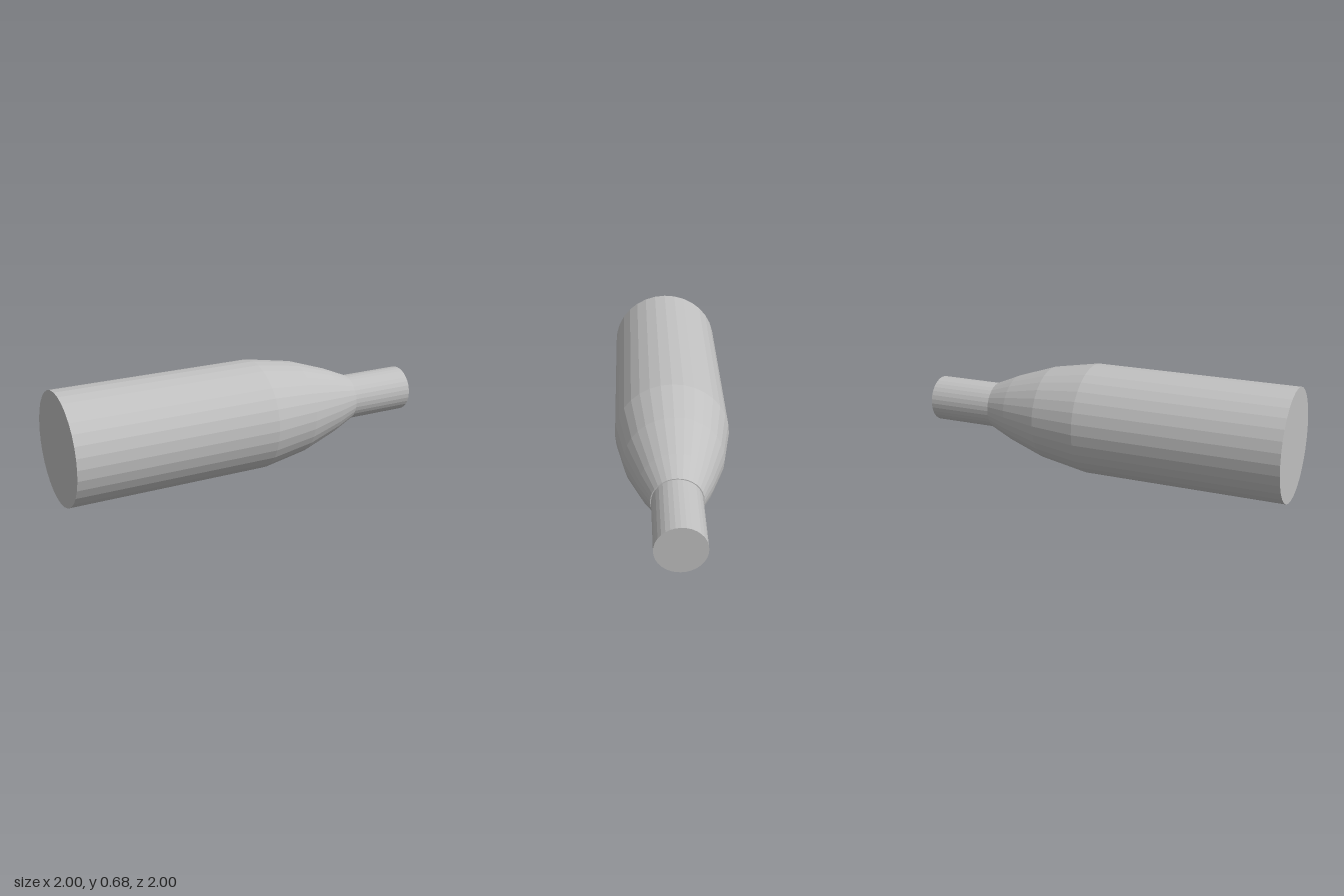
import * as THREE from 'three';

const SEGMENTS = 32;

// Faceted turned solid from [radius, height] pairs, listed from bottom to top
function turned(name, profile, material) {
  const points = profile.map(([r, h]) => new THREE.Vector2(r, h));
  const geometry = new THREE.LatheGeometry(points, SEGMENTS).toNonIndexed();
  geometry.computeVertexNormals();
  const mesh = new THREE.Mesh(geometry, material);
  mesh.name = name;
  return mesh;
}

export function createModel() {
  const glass = new THREE.MeshStandardMaterial({ color: 0xc0c0c0, flatShading: true });
  glass.name = 'light grey';

  const bottle = new THREE.Group();
  bottle.name = 'bottle';

  // Straight body with rounded shoulder, closed at both ends
  bottle.add(turned('body', [
    [0, -1.075], [0.34, -1.075], [0.34, 0.18],
    [0.29, 0.467], [0.209, 0.71], [0.147, 0.856], [0, 0.856],
  ], glass));

  // Slightly narrower neck rising out of the shoulder
  bottle.add(turned('neck', [
    [0, 0.8], [0.1414, 0.8], [0.1414, 1.272], [0, 1.272],
  ], glass));

  // Lay the bottle down, pointing diagonally to the back left
  bottle.rotation.set(0, Math.PI / 4, -Math.PI / 2);
  bottle.position.y = 0.34;

  const model = new THREE.Group();
  model.name = 'model';
  model.add(bottle);
  return model;
}
